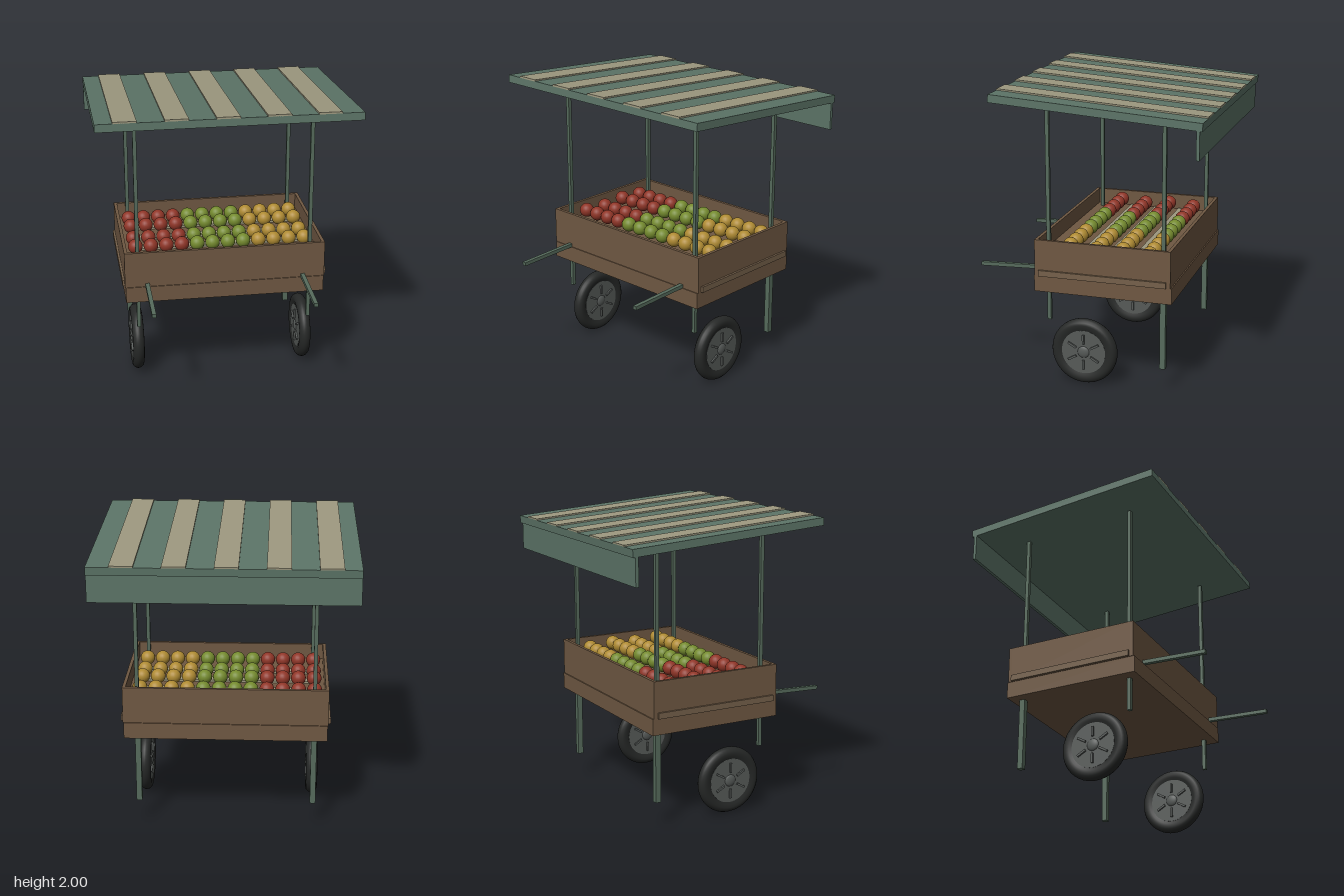
import * as THREE from 'three';

const mat = (color) => {
  const m = new THREE.MeshStandardMaterial();
  m.color.set(color);
  return m;
};

export function createModel() {
  const cart = new THREE.Group();
  cart.name = 'marketCart';
  const green = mat(0x5c7467), postGreen = mat(0x566b5c), tan = mat(0x9d987f);
  const wood = mat(0x6f5842), rail = mat(0x75604a), rubber = mat(0x262827), steel = mat(0x565a58);

  const add = (parent, name, geometry, material, x = 0, y = 0, z = 0) => {
    const mesh = new THREE.Mesh(geometry, material);
    mesh.name = name;
    mesh.position.set(x, y, z);
    parent.add(mesh);
    return mesh;
  };
  // Box given by its min and max along each axis
  const block = (name, material, x0, x1, y0, y1, z0, z1, parent = cart) =>
    add(parent, name, new THREE.BoxGeometry(x1 - x0, y1 - y0, z1 - z0), material,
      (x0 + x1) / 2, (y0 + y1) / 2, (z0 + z1) / 2);

  // Sloping striped canopy, higher at the front
  const canopy = new THREE.Group();
  canopy.name = 'canopy';
  canopy.position.set(0, 1.916, -0.103);
  canopy.rotation.x = -0.07;
  cart.add(canopy);
  block('canopyPanel', green, -0.857, 0.857, -0.026, 0.026, -0.694, 0.694, canopy);
  for (let i = 0; i < 5; i++) {
    const x = -0.669 + i * 0.326;
    block('canopyStripe', tan, x - 0.076, x + 0.076, 0.024, 0.036, -0.694, 0.694, canopy);
  }
  block('rearValance', green, -0.857, 0.857, 1.66, 1.86, -0.778, -0.757);

  // Tray: solid base with an open-topped crate on it
  block('trayBase', wood, -0.675, 0.675, 0.65, 0.76, -0.569, 0.368);
  block('trayFloor', wood, -0.66, 0.66, 0.76, 0.9, -0.54, 0.34);
  block('frontBoard', wood, -0.68, 0.68, 0.76, 1.007, 0.34, 0.362);
  block('backBoard', wood, -0.68, 0.68, 0.76, 1.007, -0.561, -0.539);
  for (const s of [-1, 1]) {
    const side = s < 0 ? 'right' : 'left';
    add(cart, side + 'Board', new THREE.BoxGeometry(0.022, 0.247, 0.88), wood, s * 0.669, 0.8835, -0.1);
    add(cart, side + 'Rail', new THREE.BoxGeometry(0.02, 0.04, 0.867), rail, s * 0.685, 0.781, -0.1);

    // Posts, rear legs and push handles
    block(side + 'FrontPost', postGreen, s * 0.588 - 0.0125, s * 0.588 + 0.0125, 0.43, 1.895, 0.28, 0.305);
    block(side + 'BackPost', postGreen, s * 0.588 - 0.0125, s * 0.588 + 0.0125, 0.6, 1.868, -0.505, -0.48);
    block(side + 'RearLeg', postGreen, s * 0.588 - 0.019, s * 0.588 + 0.019, 0.167, 0.66, -0.512, -0.474);
    const handle = add(cart, side + 'Handle', new THREE.BoxGeometry(0.028, 0.025, 0.46), postGreen,
      s * 0.53, 0.764, 0.568);
    handle.rotation.x = 0.035;
  }

  // Fruit in four rows: red, green, yellow from right to left, every other row set lower
  const fruitGeo = new THREE.SphereGeometry(0.05, 20, 14);
  const fruits = [['redFruit', mat(0x8f3527)], ['greenFruit', mat(0x748a2e)], ['yellowFruit', mat(0xae8a32)]];
  for (let r = 0; r < 4; r++) {
    const z = 0.143 - r * 0.18;
    for (let c = 0; c < 12; c++) {
      const [name, m] = fruits[Math.floor(c / 4)];
      add(cart, name, fruitGeo, m, -0.587 + c * 0.106, r % 2 ? 0.948 : 0.962, z);
    }
    if (r < 3) block('trayDivider', tan, -0.62, 0.62, 0.9, 0.915, z - 0.12, z - 0.06);
  }

  // Wheels: rounded tyre, disc, six raised spokes and hub caps on both faces
  const profile = [[0.15, -0.03], [0.17, -0.037], [0.19, -0.04], [0.207, -0.036], [0.22, -0.024], [0.2265, -0.01],
    [0.2275, 0], [0.2265, 0.01], [0.22, 0.024], [0.207, 0.036], [0.19, 0.04], [0.17, 0.037], [0.15, 0.03]];
  const tyreGeo = new THREE.LatheGeometry(profile.map(([r, y]) => new THREE.Vector2(r, y)), 48);
  const discGeo = new THREE.CylinderGeometry(0.152, 0.152, 0.064, 48);
  const hubGeo = new THREE.SphereGeometry(0.042, 20, 12);
  const spokeGeo = new THREE.BoxGeometry(0.065, 0.018, 0.014);
  for (const s of [-1, 1]) {
    const wheel = new THREE.Group();
    wheel.name = s < 0 ? 'rightWheel' : 'leftWheel';
    wheel.position.set(s * 0.588, 0.229, 0.048);
    wheel.rotation.z = Math.PI / 2;
    cart.add(wheel);
    add(wheel, 'tyre', tyreGeo, rubber);
    add(wheel, 'wheelDisc', discGeo, steel);
    for (const f of [-1, 1]) {
      add(wheel, 'hubCap', hubGeo, steel, 0, f * 0.028, 0).scale.y = 0.4;
      for (let i = 0; i < 6; i++) {
        const a = i * Math.PI / 3;
        add(wheel, 'spoke', spokeGeo, steel, Math.cos(a) * 0.09, f * 0.035, -Math.sin(a) * 0.09).rotation.y = a;
      }
    }
  }
  return cart;
}
